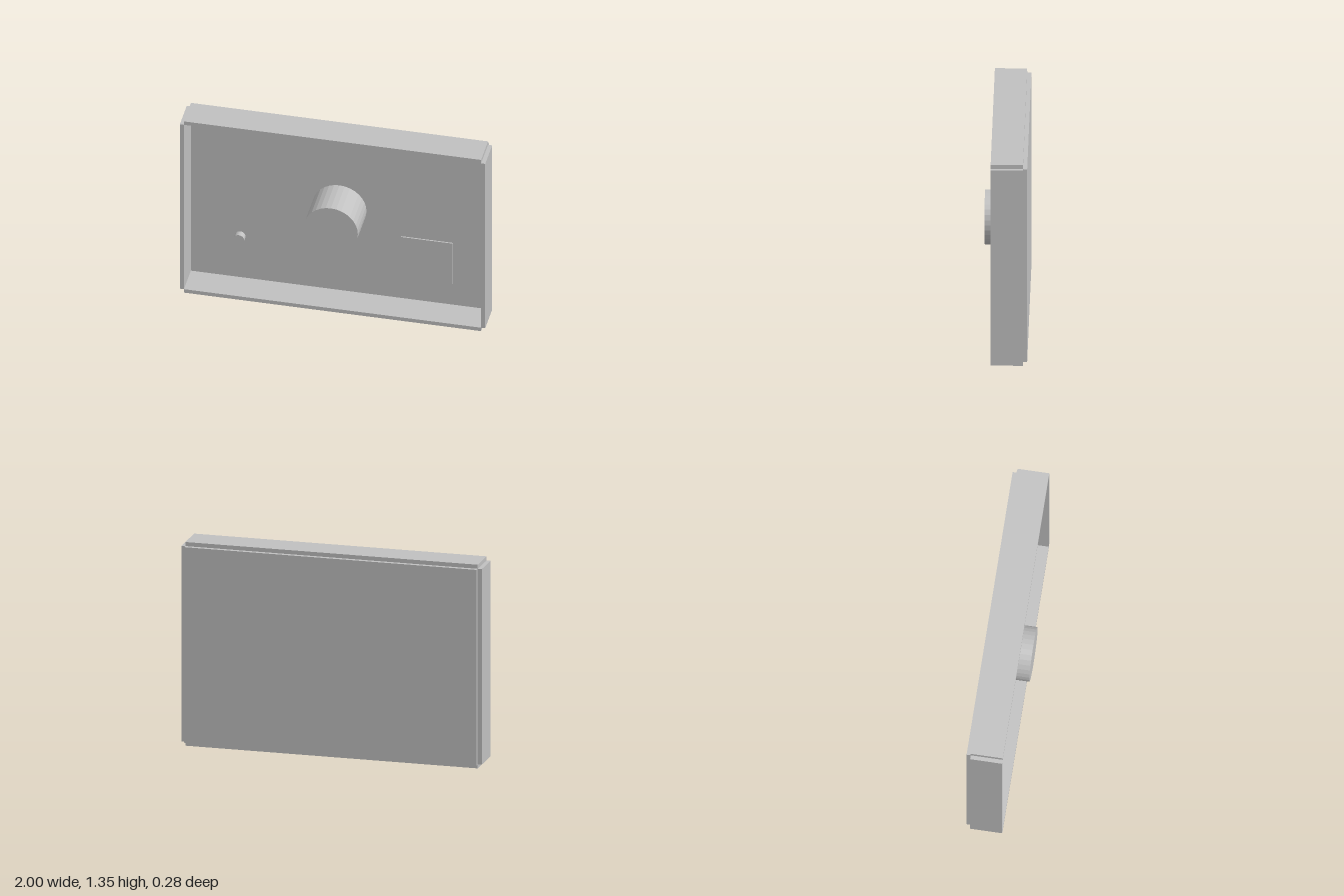
import * as THREE from 'three';

export function createModel() {
  const group = new THREE.Group();
  const grey = new THREE.MeshStandardMaterial({ color: 0xc0c0c0, flatShading: true });
  grey.name = 'plain grey';

  const add = (name, geometry, x, y, z) => {
    const mesh = new THREE.Mesh(geometry, grey);
    mesh.name = name;
    mesh.position.set(x, y, z);
    group.add(mesh);
    return mesh;
  };

  const T = 0.027;                     // sheet thickness
  const W = 1.946, H = 1.299;          // inner opening
  const midY = T + H / 2;
  const floorZ = -0.115, frontZ = 0.092;
  const depth = frontZ - floorZ, wallZ = (frontZ + floorZ) / 2;

  // Back sheet
  add('backPanel', new THREE.BoxGeometry(W, H, T), 0, midY, floorZ - T / 2);

  // Four walls, open at the corners
  for (const s of [-1, 1]) {
    add(s > 0 ? 'leftWall' : 'rightWall',
      new THREE.BoxGeometry(T, H, depth), s * (W + T) / 2, midY, wallZ);
    add(s > 0 ? 'topWall' : 'bottomWall',
      new THREE.BoxGeometry(W, T, depth), 0, midY + s * (H + T) / 2, wallZ);
  }

  // Round parts rising from the back sheet towards the front
  const knob = (name, radius, length, x, y) => {
    const geometry = new THREE.CylinderGeometry(radius, radius, length, 32);
    geometry.rotateX(Math.PI / 2);
    add(name, geometry, x, y, floorZ + length / 2);
  };
  knob('centralDrum', 0.177, 0.257, 0, midY);
  knob('smallButton', 0.035, 0.043, -0.65, 0.353);

  // Thin square plate
  add('squarePlate', new THREE.BoxGeometry(0.338, 0.322, 0.009), 0.574, 0.354, floorZ + 0.0045);

  return group;
}
